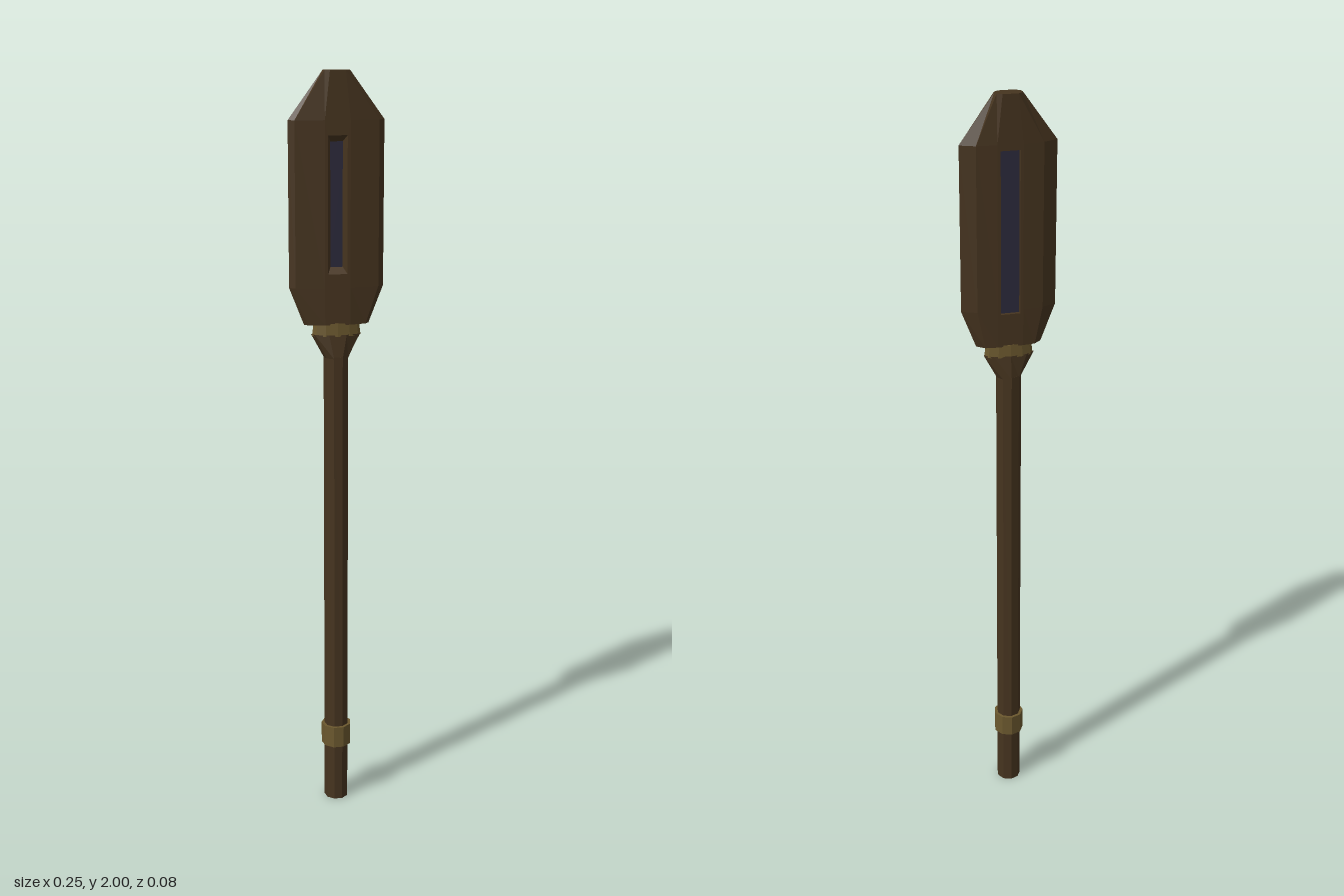
import * as THREE from 'three';

const material = (color) =>
  new THREE.MeshStandardMaterial({ color, flatShading: true, side: THREE.DoubleSide });
const brown = material(0x46341f);
const brass = material(0x6b582e);
const blue = material(0x2c2a3c);

function add(group, name, geometry, mat) {
  const mesh = new THREE.Mesh(geometry, mat);
  mesh.name = name;
  group.add(mesh);
  return mesh;
}

// Joins closed rings of points with flat quads; skips the listed sides
function loft(rings, skip = [], caps = false) {
  const out = [];
  const tri = (...points) => points.forEach((p) => out.push(...p));
  const n = rings[0].length;
  for (let r = 0; r + 1 < rings.length; r++) {
    const a = rings[r], b = rings[r + 1];
    for (let i = 0; i < n; i++) {
      if (skip.includes(i)) continue;
      const j = (i + 1) % n;
      tri(a[i], b[i], b[j]);
      tri(a[i], b[j], a[j]);
    }
  }
  if (caps) {
    const first = rings[0], last = rings[rings.length - 1];
    for (let i = 1; i + 1 < n; i++) {
      tri(first[0], first[i], first[i + 1]);
      tri(last[0], last[i + 1], last[i]);
    }
  }
  const geometry = new THREE.BufferGeometry();
  geometry.setAttribute('position', new THREE.Float32BufferAttribute(out, 3));
  geometry.computeVertexNormals();
  return geometry;
}

// Nine-sided tube between two heights, with an elliptical top
function nineSided(y0, y1, r0, topX = r0, topZ = r0) {
  const ring = (y, rx, rz) => Array.from({ length: 9 }, (_, i) => {
    const t = -Math.PI / 2 + (i / 9) * Math.PI * 2;
    return [Math.cos(t) * rx, y, Math.sin(t) * rz];
  });
  return loft([ring(y0, r0, r0), ring(y1, topX, topZ)], [], true);
}

const rect = (w, y0, y1, z) => [[-w, y0, z], [w, y0, z], [w, y1, z], [-w, y1, z]];

export function createModel() {
  const model = new THREE.Group();
  model.name = 'paddle';

  // Handle
  add(model, 'shaft', nineSided(0, 1.28, 0.033), brown);
  add(model, 'gripRing', nineSided(0.165, 0.225, 0.041), brass);
  add(model, 'flare', nineSided(1.275, 1.337, 0.033, 0.067, 0.026), brown);
  const collar = add(model, 'collar', new THREE.CylinderGeometry(0.06, 0.064, 0.034, 12), brass);
  collar.position.y = 1.35;
  collar.scale.z = 0.4;

  // Blade: height, edge, front bevel, back bevel, middle strip, bevel depths
  const face = 0.022;
  const levels = [
    [1.363, 0.085, 0.075, 0.065, 0.033, 0.013, 0.018],
    [1.46, 0.123, 0.108, 0.085, 0.033, 0.013, 0.018],
    [1.88, 0.123, 0.108, 0.085, 0.033, 0.013, 0.018],
    [2, 0.035, 0.032, 0.032, 0.02, 0.012, 0.012],
  ];
  const rings = levels.map(([y, w, f, b, c, zf, zb]) => [
    [w, y, 0], [f, y, zf], [c, y, face], [-c, y, face], [-f, y, zf],
    [-w, y, 0], [-b, y, -zb], [-c, y, -face], [c, y, -face], [b, y, -zb],
  ]);
  const blade = new THREE.Group();
  blade.name = 'blade';
  model.add(blade);
  add(blade, 'bladeBody', loft(rings, [2, 7], true), brown);

  // Middle strips with slots: side, half width, bottom, top, inner half width, inset, floor
  const slots = [
    ['front', 1, 0.025, 1.495, 1.843, 0.016, 0.016, 0.003],
    ['back', -1, 0.025, 1.45, 1.865, 0.025, 0, -0.012],
  ];
  for (const [name, side, w, y0, y1, wi, inset, floor] of slots) {
    const outline = [
      ...levels.map(([y, , , , c]) => new THREE.Vector2(c, y)),
      ...levels.map(([y, , , , c]) => new THREE.Vector2(-c, y)).reverse(),
    ];
    const shape = new THREE.Shape(outline);
    const corners = rect(w, y0, y1, side * face);
    shape.holes.push(new THREE.Path(corners.map(([x, y]) => new THREE.Vector2(x, y))));
    const strip = add(blade, name + 'Strip', new THREE.ShapeGeometry(shape), brown);
    strip.position.z = side * face;
    if (side < 0) strip.rotation.y = Math.PI;
    const inner = rect(wi, y0 + inset, y1 - inset, floor);
    add(blade, name + 'SlotWalls', loft(side > 0 ? [corners, inner] : [inner, corners]), brown);
  }

  // Coloured core seen through both slots
  const core = add(blade, 'core', new THREE.BoxGeometry(0.056, 0.43, 0.015), blue);
  core.position.set(0, 1.6575, -0.0045);
  return model;
}
